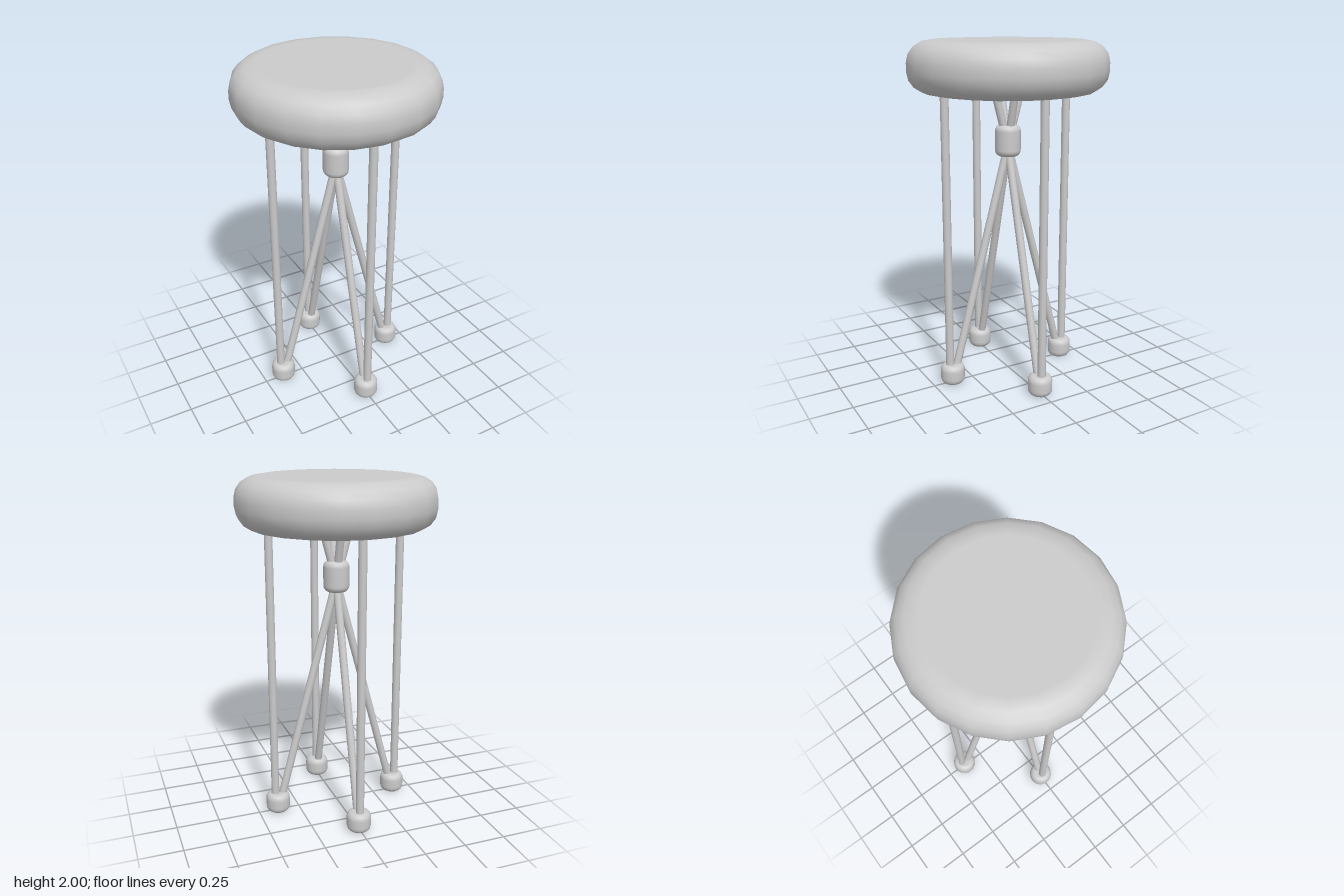
import * as THREE from 'three';

const material = new THREE.MeshStandardMaterial({ color: 0xcccccc });

// Cushion-like disc: flat caps joined to the side by rounded corners.
function roundedDisc(name, radius, y0, y1, cornerX, cornerY, sides) {
  const steps = 4;
  const points = [new THREE.Vector2(0, y0), new THREE.Vector2((radius - cornerX) * 0.95, y0)];
  for (let i = 0; i <= steps; i++) {
    const a = (i / steps) * Math.PI / 2;
    points.push(new THREE.Vector2(radius - cornerX * (1 - Math.sin(a)), y0 + cornerY * (1 - Math.cos(a))));
  }
  const upper = points.map(p => new THREE.Vector2(p.x, y0 + y1 - p.y)).reverse();
  const mesh = new THREE.Mesh(new THREE.LatheGeometry([...points, ...upper], sides), material);
  mesh.name = name;
  return mesh;
}

// Straight round rod between two points.
function rod(name, from, to, radius) {
  const dir = to.clone().sub(from);
  const mesh = new THREE.Mesh(new THREE.CylinderGeometry(radius, radius, dir.length(), 12), material);
  mesh.position.copy(from).add(to).multiplyScalar(0.5);
  mesh.quaternion.setFromUnitVectors(new THREE.Vector3(0, 1, 0), dir.normalize());
  mesh.name = name;
  return mesh;
}

export function createModel() {
  const stool = new THREE.Group();
  stool.name = 'stool';

  // Seat and the hub that clamps the crossing braces
  stool.add(roundedDisc('seat', 0.568, 1.71, 2, 0.13, 0.12, 20));
  stool.add(roundedDisc('hub', 0.075, 1.345, 1.525, 0.03, 0.035, 16));

  // Four identical leg assemblies, a quarter turn apart
  for (let i = 0; i < 4; i++) {
    const assembly = new THREE.Group();
    assembly.name = 'legAssembly' + (i + 1);
    assembly.rotation.y = i * Math.PI / 2;

    const foot = roundedDisc('foot', 0.072, 0, 0.118, 0.028, 0.036, 16);
    foot.position.x = 0.38;
    assembly.add(foot);
    assembly.add(rod('leg', new THREE.Vector3(0.396, 0.06, 0), new THREE.Vector3(0.396, 1.74, 0), 0.024));
    assembly.add(rod('brace', new THREE.Vector3(0.363, 0.06, 0), new THREE.Vector3(-0.09, 1.74, 0), 0.023));
    stool.add(assembly);
  }
  return stool;
}
